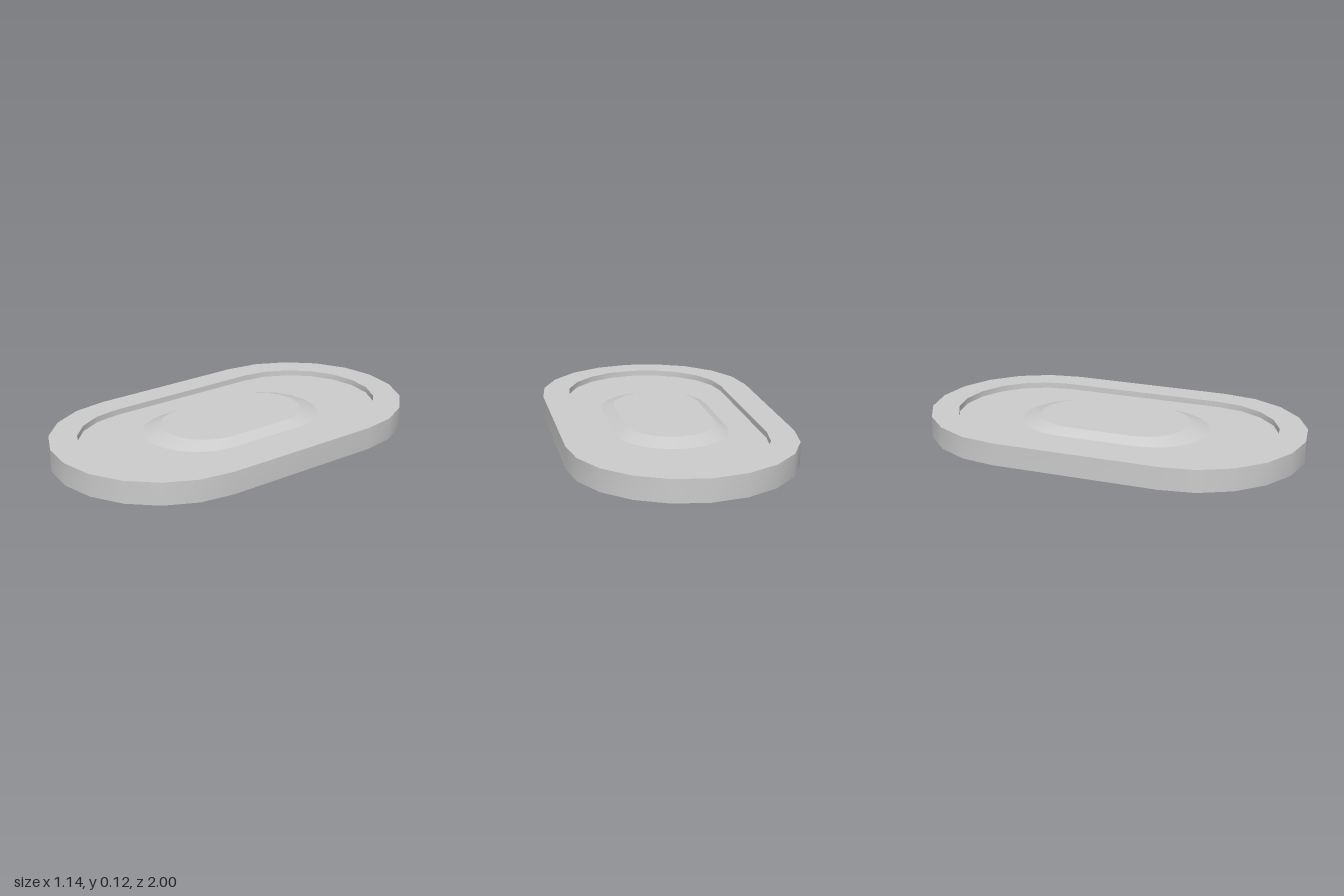
import * as THREE from 'three';
import { toCreasedNormals } from 'three/addons/utils/BufferGeometryUtils.js';

const SEGMENTS = 10; // sides per rounded end

// Capsule-shaped loop: end radius r, end centres at z = -c and z = +c, height y.
function capsule(r, c, y) {
  const points = [];
  for (const end of [0, 1]) {
    for (let i = 0; i <= SEGMENTS; i++) {
      const a = Math.PI * (end + i / SEGMENTS);
      points.push(new THREE.Vector3(r * Math.cos(a), y, -r * Math.sin(a) + (end ? c : -c)));
    }
  }
  return points;
}

// Skin a series of loops; a loop of radius 0 closes the surface at the centre.
function loft(rings, crease) {
  const loops = rings.map(([r, c, y]) => capsule(r, c, y));
  const vertices = [];
  const triangle = (a, b, c) => {
    if (a.equals(b) || b.equals(c) || c.equals(a)) return;
    for (const p of [a, b, c]) vertices.push(p.x, p.y, p.z);
  };
  for (let k = 0; k < loops.length - 1; k++) {
    const lower = loops[k], upper = loops[k + 1];
    for (let i = 0; i < lower.length; i++) {
      const j = (i + 1) % lower.length;
      triangle(lower[i], lower[j], upper[j]);
      triangle(lower[i], upper[j], upper[i]);
    }
  }
  const geometry = new THREE.BufferGeometry();
  geometry.setAttribute('position', new THREE.Float32BufferAttribute(vertices, 3));
  return toCreasedNormals(geometry, crease);
}

export function createModel() {
  const group = new THREE.Group();
  group.name = 'ovalTray';
  const material = new THREE.MeshStandardMaterial({ color: 0xcccccc });
  const add = (name, geometry) => {
    const mesh = new THREE.Mesh(geometry, material);
    mesh.name = name;
    group.add(mesh);
  };

  // Underside, outer wall, flat rim, step down and sunken floor
  add('tray', loft([
    [0, 0, 0],
    [0.57, 0.43, 0],
    [0.57, 0.43, 0.115],
    [0.428, 0.43, 0.115],
    [0.428, 0.43, 0.085],
    [0.285, 0.215, 0.085],
  ], 0.6));

  // Raised centre pad with sloping sides
  add('centrePad', loft([
    [0.285, 0.215, 0.085],
    [0.228, 0.172, 0.115],
    [0, 0, 0.115],
  ], 0.2));

  return group;
}
